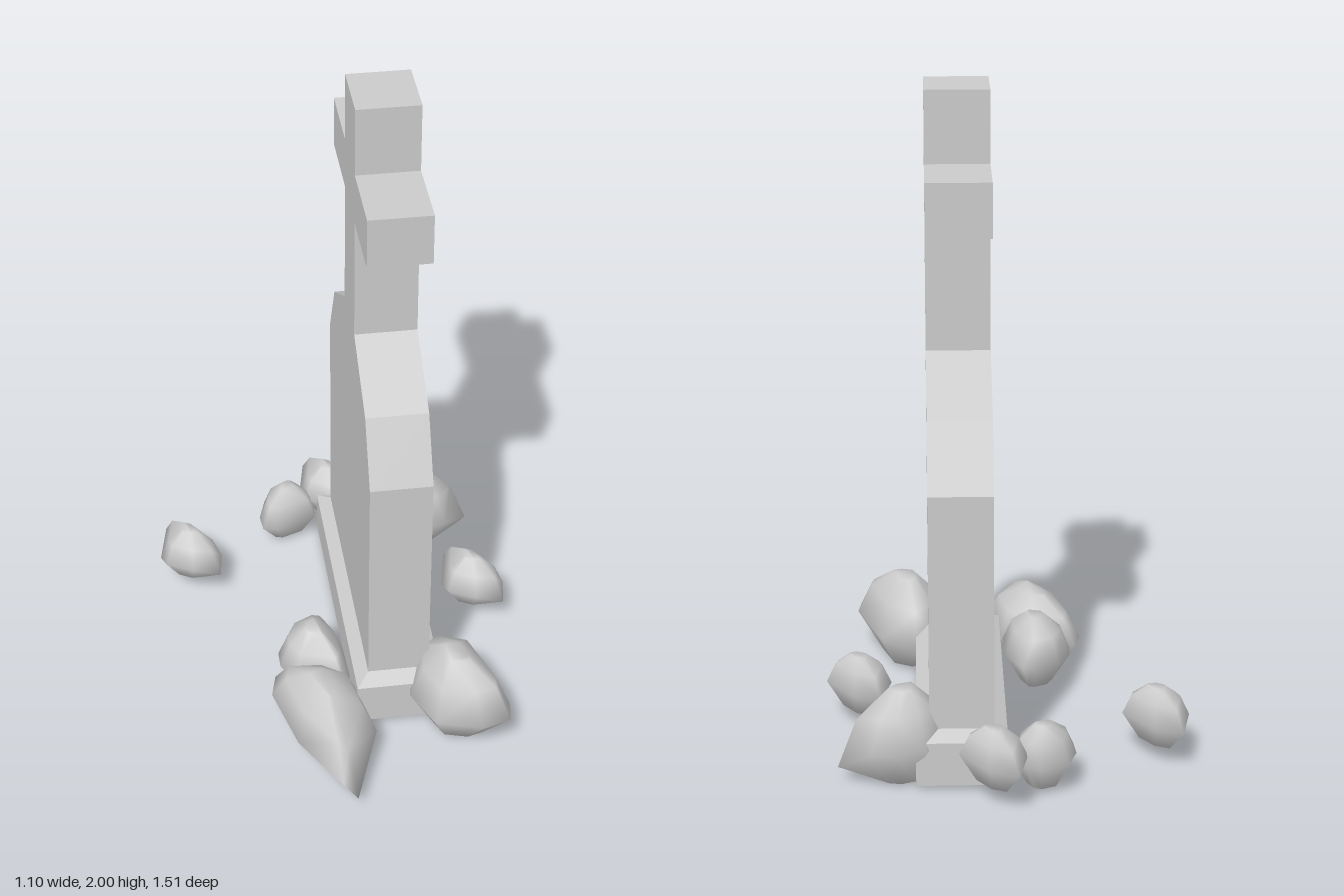
import * as THREE from 'three';
import { mergeVertices } from 'three/addons/utils/BufferGeometryUtils.js';
import { ConvexGeometry } from 'three/addons/geometries/ConvexGeometry.js';

const material = new THREE.MeshStandardMaterial({ color: 0xcccccc, side: THREE.DoubleSide });
const CX = 0.135, CZ = -0.093; // centre of the gravestone

// Slab with a cross on top: half outline (half width, height), mirrored and extruded
function slabGeometry() {
  const half = [[0.43, 0.175], [0.43, 0.895], [0.328, 1.09], [0.1, 1.23], [0.1, 1.625],
    [0.335, 1.625], [0.335, 1.785], [0.1, 1.785], [0.1, 2]];
  const outline = [...half, ...half.map(([w, y]) => [-w, y]).reverse()];
  const shape = new THREE.Shape(outline.map(([w, y]) => new THREE.Vector2(w, y)));
  const extruded = new THREE.ExtrudeGeometry(shape, { depth: 0.19, bevelEnabled: false });
  // leave the hidden underside open
  const p = extruded.toNonIndexed ? (extruded.index ? extruded.toNonIndexed() : extruded).attributes.position : null;
  const kept = [];
  for (let i = 0; i < p.count; i += 3) {
    const low = [0, 1, 2].every(k => p.getY(i + k) < 0.2);
    if (!low) for (let k = 0; k < 3; k++) kept.push(p.getX(i + k), p.getY(i + k), p.getZ(i + k));
  }
  const g = new THREE.BufferGeometry();
  g.setAttribute('position', new THREE.Float32BufferAttribute(kept, 3));
  g.rotateY(-Math.PI / 2).translate(CX + 0.095, 0, CZ);
  g.computeVertexNormals();
  return g;
}

// Hollow plinth: rectangular rings (half x, half z, height) joined by flat walls
function plinthGeometry() {
  const rings = [[0.135, 0.478, 0.015], [0.135, 0.478, 0.15], [0.095, 0.43, 0.175]];
  const corners = [[-1, 1], [1, 1], [1, -1], [-1, -1]];
  const at = (r, c) => [CX + corners[c % 4][0] * rings[r][0], rings[r][2], CZ + corners[c % 4][1] * rings[r][1]];
  const v = [];
  for (let r = 0; r < 2; r++) {
    for (let c = 0; c < 4; c++) {
      const [a, b, d, e] = [at(r, c), at(r, c + 1), at(r + 1, c + 1), at(r + 1, c)];
      v.push(...a, ...b, ...d, ...a, ...d, ...e);
    }
  }
  const g = new THREE.BufferGeometry();
  g.setAttribute('position', new THREE.Float32BufferAttribute(v, 3));
  g.computeVertexNormals();
  return g;
}

// Smooth stone: hull of a plan outline [x, z, height] with a crown and a foot drawn in
function stoneGeometry(outline, bottom, top, crown) {
  const pts = [];
  for (const [x, z, y = bottom + (top - bottom) * 0.42] of outline) {
    const ring = (s, h) => pts.push(new THREE.Vector3(
      crown[0] + (x - crown[0]) * s, h, crown[1] + (z - crown[1]) * s));
    ring(1, y);
    ring(0.72, y + (top - y) * 0.62);
    ring(0.25, top);
    ring(0.5, bottom);
  }
  const g = new ConvexGeometry(pts);
  g.deleteAttribute('normal');
  if (g.attributes.uv) g.deleteAttribute('uv');
  const smooth = mergeVertices(g, 1e-4);
  smooth.computeVertexNormals();
  return smooth;
}

export function createModel() {
  const group = new THREE.Group();
  const add = (name, geometry) => {
    const mesh = new THREE.Mesh(geometry, material);
    mesh.name = name;
    group.add(mesh);
    return mesh;
  };

  add('crossSlab', slabGeometry());
  add('plinth', plinthGeometry());

  // Three copies of one small pebble
  const pebble = stoneGeometry([[-0.07, -0.115, 0.13], [-0.1, 0.03], [-0.085, 0.065], [0, 0.11],
    [0.09, 0.108, 0.1], [0.1, 0.045], [0.015, -0.075]], 0.055, 0.23, [0, 0.01]);
  [[-0.45, -0.375], [0.445, -0.115], [0.045, -0.645]].forEach(([x, z], i) => {
    add('pebble' + (i + 1), pebble).position.set(x, 0, z);
  });

  // Individual stones around the plinth
  add('backSmallStone', stoneGeometry([[-0.09, -0.655], [-0.05, -0.64], [-0.01, -0.58], [-0.015, -0.52],
    [-0.15, -0.47], [-0.195, -0.48], [-0.2, -0.54], [-0.175, -0.62]], 0.02, 0.21, [-0.1, -0.57]));
  add('backLargeStone', stoneGeometry([[0.24, -0.58], [0.33, -0.615], [0.4, -0.6], [0.5, -0.51, 0.05],
    [0.48, -0.48, 0.06], [0.41, -0.39], [0.23, -0.325], [0.18, -0.42], [0.18, -0.52]], 0.01, 0.29, [0.3, -0.48]));
  add('frontLargeStone', stoneGeometry([[0.26, 0.185, 0.1], [0.38, 0.25], [0.46, 0.49], [0.45, 0.56],
    [0.36, 0.585], [0.22, 0.545], [0.16, 0.41], [0.19, 0.26]], 0.01, 0.29, [0.3, 0.41]));
  add('frontLongStone', stoneGeometry([[-0.24, 0.24], [-0.1, 0.25], [0, 0.32], [0.04, 0.52],
    [-0.05, 0.75, 0.05], [-0.09, 0.72, 0.08], [-0.205, 0.54], [-0.26, 0.32]], 0.003, 0.23, [-0.11, 0.4]));
  add('sideStone', stoneGeometry([[-0.1, 0.03], [-0.065, 0.04], [-0.015, 0.15], [-0.01, 0.285],
    [-0.035, 0.32], [-0.18, 0.275], [-0.22, 0.21], [-0.22, 0.15], [-0.18, 0.07]], 0.02, 0.24, [-0.11, 0.18]));

  return group;
}
